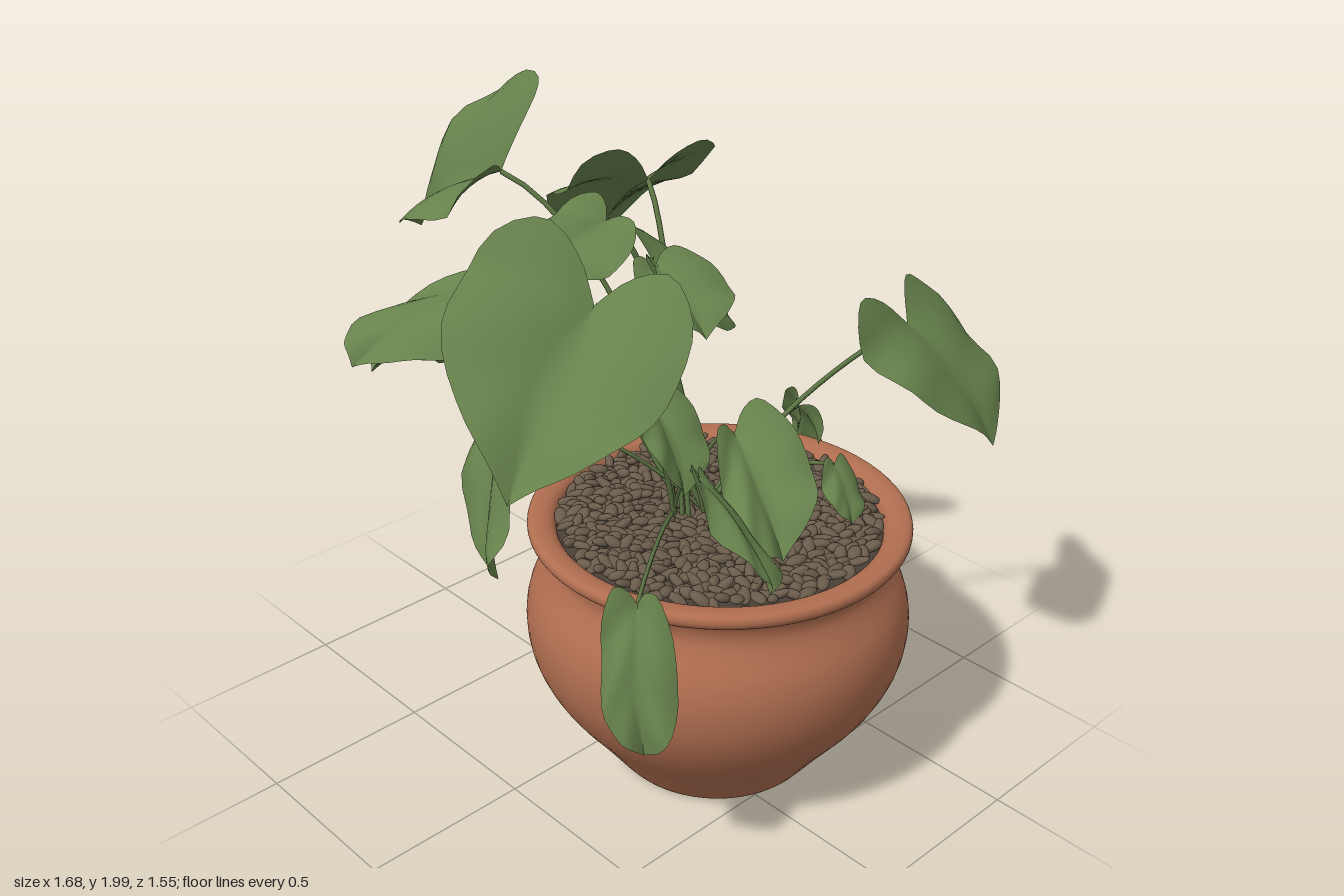
import * as THREE from 'three';
import { mergeGeometries } from 'three/addons/utils/BufferGeometryUtils.js';

const V = (a) => new THREE.Vector3(...a);
const mat = (name, color, side = THREE.FrontSide) => {
  const m = new THREE.MeshStandardMaterial({ color, side });
  m.name = name;
  return m;
};

// half outline of a heart-shaped blade: x = across, y = along the midrib
const outline = new THREE.SplineCurve([
  [0, 0], [0.25, -0.2], [0.6, -0.32], [0.93, -0.18], [1, 0.1],
  [0.89, 0.4], [0.55, 0.68], [0.2, 0.88], [0, 1],
].map((p) => new THREE.Vector2(...p)));

// blade spanned by its stalk joint, tip and the two widest side points
function leafGeometry(base, tip, left, right) {
  const B = V(base), axis = V(tip).sub(B);
  const sideL = V(left).sub(B), sideR = V(right).sub(B);
  const normal = axis.clone().cross(sideL.clone().sub(sideR)).normalize();
  if (normal.y < 0) normal.negate();
  const size = axis.length();
  const geo = new THREE.PlaneGeometry(2, 1, 12, 22);
  const pos = geo.attributes.position;
  for (let i = 0; i < pos.count; i++) {
    const f = pos.getX(i), u = 0.5 - pos.getY(i), a = Math.abs(f);
    const o = outline.getPoint(u);
    const s = THREE.MathUtils.lerp(u, o.y, a), t = o.x * a;
    const along = Math.max(0, s);
    const bow = size * (0.3 * along * (1 - along) + 0.2 * t * (1 - t) + 0.03 * t * Math.sin(s * 11 + f * 2));
    const p = B.clone().addScaledVector(axis, s)
      .addScaledVector(f > 0 ? sideL : sideR, t)
      .addScaledVector(normal, bow);
    pos.setXYZ(i, p.x, p.y, p.z);
  }
  geo.computeVertexNormals();
  return geo;
}

export function createModel() {
  const model = new THREE.Group();
  model.name = 'pottedPlant';
  const terracotta = mat('terracotta', 0xb06e50);
  const leafGreen = mat('leaf green', 0x67824c, THREE.DoubleSide);
  const stemGreen = mat('stem green', 0x5f7845);
  const stone = mat('brown stone', 0x6a5c4c);
  const soil = mat('dark soil', 0x4a4136);
  const add = (name, geo, material, parent = model) => {
    const mesh = new THREE.Mesh(geo, material);
    mesh.name = name;
    parent.add(mesh);
    return mesh;
  };

  // pot, with its underside in the same profile
  const pot = new THREE.Group();
  pot.name = 'pot';
  pot.position.set(0.11, 0, 0.22);
  model.add(pot);
  const belly = new THREE.SplineCurve([
    [0.295, 0], [0.31, 0.01], [0.39, 0.12], [0.49, 0.255], [0.545, 0.37], [0.56, 0.48], [0.543, 0.57],
    [0.5, 0.65], [0.487, 0.695], [0.5, 0.74], [0.535, 0.757], [0.549, 0.775], [0.545, 0.795],
    [0.525, 0.802], [0.49, 0.797], [0.468, 0.775], [0.46, 0.72],
  ].map((p) => new THREE.Vector2(...p))).getPoints(64);
  add('potBody', new THREE.LatheGeometry([new THREE.Vector2(0, 0), ...belly], 64), terracotta, pot);
  add('soil', new THREE.CircleGeometry(0.47, 48).rotateX(-Math.PI / 2).translate(0, 0.768, 0), soil, pot);

  // pebbles spread evenly over the soil in a sunflower pattern
  let seed = 7;
  const rand = () => (seed = (seed * 16807) % 2147483647) / 2147483647;
  const pebbles = [];
  const count = 620;
  for (let i = 0; i < count; i++) {
    const r = 0.455 * Math.sqrt((i + 0.5) / count), a = i * 2.39996;
    pebbles.push(new THREE.IcosahedronGeometry(1, 1)
      .scale(0.024 + rand() * 0.014, 0.01 + rand() * 0.006, 0.013 + rand() * 0.008)
      .rotateZ((rand() - 0.5) * 1.1)
      .rotateY(rand() * Math.PI * 2)
      .translate(Math.cos(a) * r, 0.776 + rand() * 0.016, Math.sin(a) * r));
  }
  add('pebbles', mergeGeometries(pebbles), stone, pot);

  // each leaf hangs on its own arching stem
  const plant = new THREE.Group();
  plant.name = 'plant';
  model.add(plant);
  let index = 0;
  const leaf = (base, tip, left, right, bendAt) => {
    add('leaf', leafGeometry(base, tip, left, right), leafGreen, plant);
    const angle = index++ * 2.4;
    const root = new THREE.Vector3(0.07 + 0.05 * Math.cos(angle), 0.77, 0.14 + 0.05 * Math.sin(angle));
    const end = V(base);
    const bend = root.clone().lerp(end, 0.5);
    bend.y = THREE.MathUtils.lerp(root.y, end.y, 0.85) + 0.04;
    const path = new THREE.QuadraticBezierCurve3(root, bendAt ? V(bendAt) : bend, end);
    add('stem', new THREE.TubeGeometry(path, 16, end.y > 1.3 ? 0.008 : 0.006, 6), stemGreen, plant);
  };

  // tall leaves at the back
  leaf([-0.19, 1.74, -0.34], [-0.16, 1.46, -0.77], [-0.04, 1.95, -0.43], [-0.4, 1.67, -0.33]);
  leaf([0.13, 1.7, -0.1], [0.21, 1.38, -0.43], [0.34, 1.71, -0.08], [-0.11, 1.72, -0.17]);
  leaf([-0.2, 1.36, -0.3], [-0.1, 1.0, -0.65], [-0.02, 1.25, -0.42], [-0.31, 1.2, -0.44]);
  leaf([-0.33, 1.44, -0.15], [-0.64, 1.28, -0.36], [-0.54, 1.42, -0.05], [-0.38, 1.31, -0.37]);
  // big leaves on the two sides
  leaf([-0.38, 1.59, 0.25], [-0.79, 1.25, 0.4], [-0.35, 1.51, 0.54], [-0.6, 1.68, 0.03]);
  leaf([-0.52, 1.58, -0.03], [-0.83, 1.43, -0.15], [-0.58, 1.5, 0.1], [-0.64, 1.53, -0.2]);
  leaf([0.57, 1.33, 0.48], [0.68, 1.0, 0.73], [0.82, 1.28, 0.43], [0.32, 1.32, 0.55], [0.42, 1.02, 0.14]);
  // crown leaves in the middle
  leaf([-0.03, 1.57, 0.08], [0.21, 1.32, 0.15], [0.09, 1.55, -0.05], [-0.08, 1.47, 0.25]);
  leaf([-0.14, 1.69, 0.03], [-0.38, 1.59, 0.06], [-0.24, 1.64, 0.2], [-0.24, 1.71, -0.06]);
  leaf([-0.08, 1.58, 0.15], [-0.12, 1.46, 0.38], [0.06, 1.55, 0.24], [-0.21, 1.55, 0.24]);
  // small low leaves near the rim
  leaf([0.12, 1.06, 0.26], [0.03, 0.81, 0.54], [0.24, 1.04, 0.4], [-0.05, 0.95, 0.4]);
  leaf([-0.15, 1.22, 0.22], [-0.15, 1.0, 0.34], [-0.05, 1.18, 0.28], [-0.24, 1.18, 0.28]);
  leaf([-0.17, 1.09, 0.41], [-0.13, 0.82, 0.64], [-0.07, 0.91, 0.47], [-0.23, 1.0, 0.53]);
  leaf([0.33, 0.96, 0.45], [0.3, 0.82, 0.55], [0.39, 0.9, 0.48], [0.25, 0.92, 0.48]);
  leaf([0.6, 0.91, 0.07], [0.72, 0.67, -0.06], [0.67, 0.86, -0.06], [0.61, 0.81, 0.16]);
  leaf([-0.47, 0.88, 0.5], [-0.54, 0.5, 0.6], [-0.45, 0.72, 0.63], [-0.56, 0.74, 0.46]);
  leaf([-0.4, 1.14, -0.1], [-0.53, 0.75, 0.01], [-0.51, 1.02, 0.07], [-0.39, 1.08, -0.24]);
  leaf([0.1, 1.06, -0.1], [0.12, 0.8, -0.29], [0.2, 0.95, -0.19], [0.02, 0.95, -0.19]);
  return model;
}
